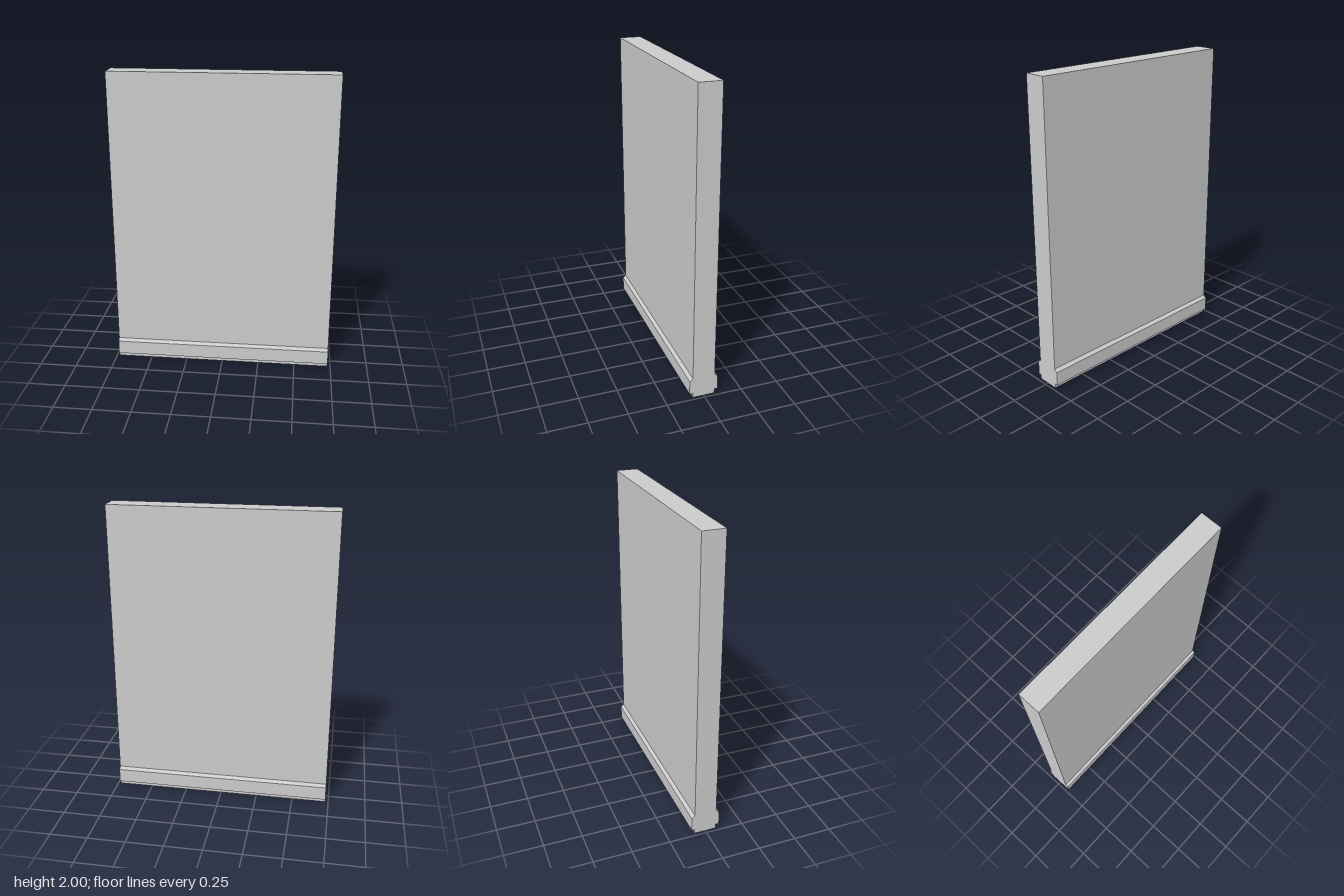
import * as THREE from 'three';

const WIDTH = 1.46;

// Half of the wall's cross-section as [depth, height], from the foot up
const HALF_PROFILE = [
  [0.073, 0], [0.073, 0.03], // recessed foot
  [0.094, 0.03], [0.094, 0.123], // skirting band
  [0.073, 0.14], [0.073, 2], // chamfer, then plain face
];

export function createModel() {
  const group = new THREE.Group();
  group.name = 'wallPanel';

  // Mirror the half profile to get skirting on both faces
  const mirrored = HALF_PROFILE.map(([d, y]) => [-d, y]).reverse();
  const outline = [...HALF_PROFILE, ...mirrored].map(([d, y]) => new THREE.Vector2(d, y));

  // Extrude along the length of the wall
  const geometry = new THREE.ExtrudeGeometry(new THREE.Shape(outline), { depth: WIDTH, bevelEnabled: false });
  geometry.translate(0, 0, -WIDTH / 2);
  geometry.rotateY(Math.PI / 2);

  const wall = new THREE.Mesh(geometry, new THREE.MeshStandardMaterial({ color: 0xcccccc }));
  wall.name = 'wallWithSkirting';
  group.add(wall);
  return group;
}
